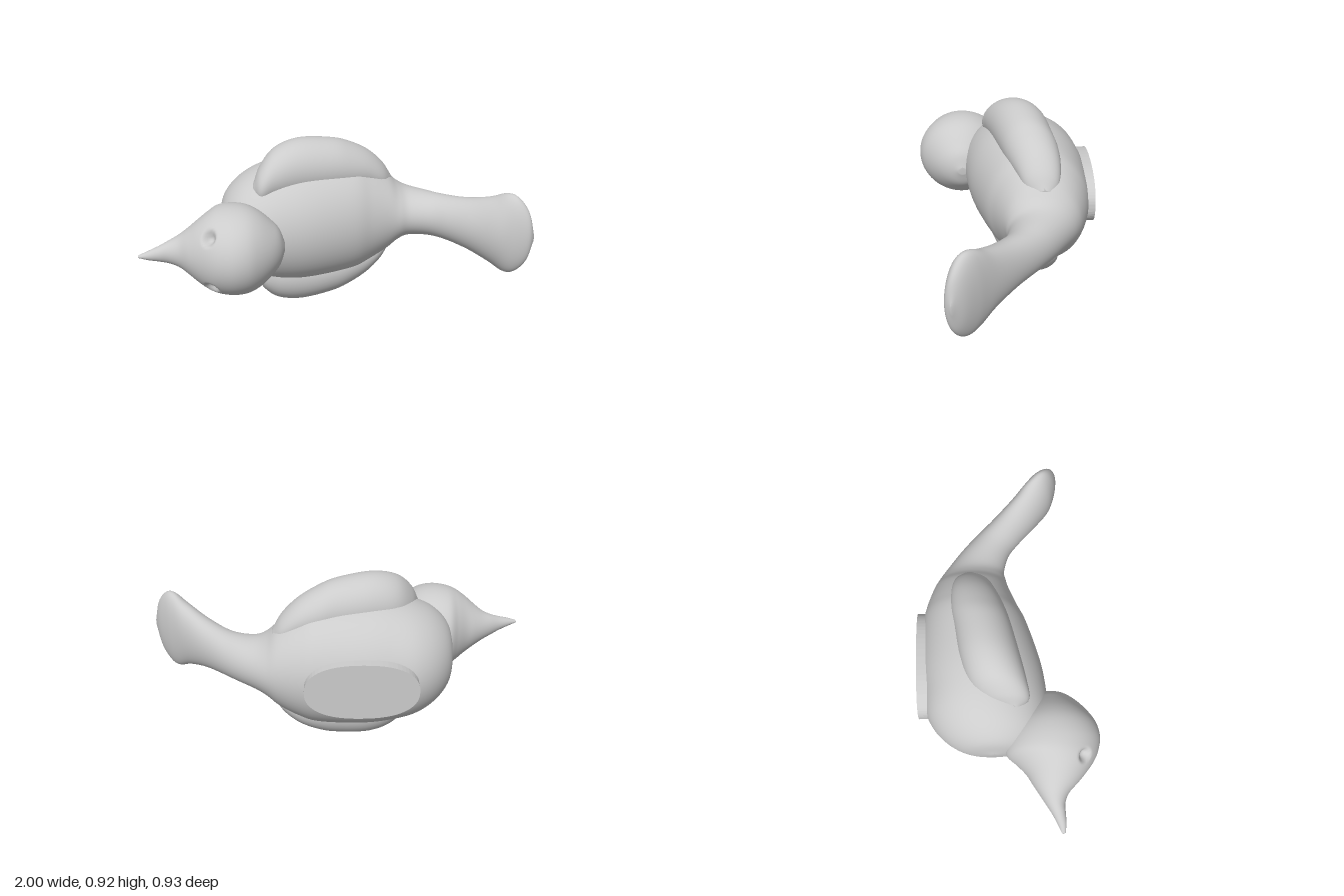
import * as THREE from 'three';

const MID = 0.46; // height of the mirror plane

// Smooth skin through oval sections [x, zLow, zHigh, yLow, yHigh] (y relative to MID)
function loft(sections, steps, sides, shift) {
  const a = new THREE.CatmullRomCurve3(sections.map(s => new THREE.Vector3(s[0], s[1], s[2])), false, 'catmullrom');
  const b = new THREE.CatmullRomCurve3(sections.map(s => new THREE.Vector3(s[3], s[4], 0)), false, 'catmullrom');
  const pos = [], index = [];
  for (let i = 0; i <= steps; i++) {
    const p = a.getPoint(i / steps), q = b.getPoint(i / steps);
    for (let j = 0; j < sides; j++) {
      const t = (j / sides) * Math.PI * 2;
      const v = new THREE.Vector3(
        p.x,
        MID + (q.x + q.y) / 2 + (q.y - q.x) / 2 * Math.cos(t),
        (p.y + p.z) / 2 + (p.z - p.y) / 2 * Math.sin(t));
      if (shift) shift(v);
      pos.push(v.x, v.y, v.z);
      if (i < steps) {
        const k = i * sides + j, n = i * sides + (j + 1) % sides;
        index.push(k, n, k + sides, n, n + sides, k + sides);
      }
    }
  }
  // end caps
  const last = steps * sides;
  for (let j = 1; j < sides - 1; j++) index.push(0, j + 1, j, last, last + j, last + j + 1);
  const g = new THREE.BufferGeometry();
  g.setAttribute('position', new THREE.Float32BufferAttribute(pos, 3));
  g.setIndex(index);
  g.computeVertexNormals();
  return g;
}

const even = ([x, lo, hi, w]) => [x, lo, hi, -w, w];

export function createModel() {
  const group = new THREE.Group();
  const mat = new THREE.MeshStandardMaterial({ color: 0xcccccc });
  const add = (name, geometry) => {
    const m = new THREE.Mesh(geometry, mat);
    m.name = name;
    group.add(m);
    return m;
  };

  // Body flowing into the narrow, flared tail
  add('bodyAndTail', loft([
    [-0.6, -0.1, -0.06, 0.02], [-0.575, -0.24, 0.08, 0.15], [-0.5, -0.35, 0.17, 0.24],
    [-0.39, -0.42, 0.2, 0.3], [-0.25, -0.44, 0.195, 0.335], [-0.1, -0.45, 0.17, 0.34],
    [0.1, -0.44, 0.11, 0.32], [0.2, -0.42, 0.065, 0.28], [0.3, -0.385, 0.025, 0.22],
    [0.36, -0.355, 0.008, 0.165], [0.42, -0.315, 0, 0.135], [0.52, -0.24, 0.03, 0.122],
    [0.6, -0.17, 0.09, 0.122], [0.7, -0.07, 0.18, 0.14], [0.8, 0.03, 0.26, 0.18],
    [0.87, 0.1, 0.29, 0.22], [0.92, 0.15, 0.303, 0.21], [0.97, 0.21, 0.305, 0.14],
    [1, 0.27, 0.28, 0.02],
  ].map(even), 108, 56));

  // Head drawn out into the beak, with a hollow pressed in for each eye
  const centre = new THREE.Vector3(-0.53, MID, 0.23);
  const eyes = [-1, 1].map(s => new THREE.Vector3(-0.645, MID + s * 0.135, 0.365));
  add('headAndBeak', loft([
    [-1, 0.242, 0.26, 0.006], [-0.95, 0.22, 0.267, 0.024], [-0.9, 0.195, 0.266, 0.04],
    [-0.85, 0.165, 0.267, 0.06], [-0.8, 0.135, 0.29, 0.085], [-0.75, 0.105, 0.338, 0.123],
    [-0.7, 0.075, 0.382, 0.165], [-0.65, 0.03, 0.42, 0.2], [-0.6, -0.02, 0.445, 0.222],
    [-0.53, -0.03, 0.46, 0.23], [-0.46, -0.01, 0.447, 0.22], [-0.4, 0.03, 0.41, 0.19],
    [-0.34, 0.08, 0.355, 0.138], [-0.3, 0.13, 0.3, 0.09], [-0.275, 0.19, 0.24, 0.02],
  ].map(even), 112, 96, v => {
    for (const e of eyes) {
      const d = v.distanceTo(e) / 0.032;
      v.lerp(centre, 0.16 * Math.exp(-(d ** 4)));
    }
  }));

  // Folded wings, one on each flank
  const wing = [
    [-0.42, 0, 0.05, 0.2, 0.26], [-0.38, -0.11, 0.1, 0.15, 0.345], [-0.3, -0.19, 0.09, 0.15, 0.425],
    [-0.17, -0.235, 0.06, 0.15, 0.46], [0, -0.26, 0.02, 0.15, 0.443], [0.1, -0.275, -0.01, 0.15, 0.41],
    [0.2, -0.275, -0.05, 0.15, 0.355], [0.28, -0.26, -0.09, 0.13, 0.28], [0.33, -0.22, -0.15, 0.13, 0.2],
  ];
  add('leftWing', loft(wing, 56, 40));
  add('rightWing', loft(wing.map(([x, lo, hi, a, b]) => [x, lo, hi, -b, -a]), 56, 40));

  // Flat oval foot under the belly
  const outline = [];
  for (let i = 0; i < 64; i++) {
    const t = (i / 64) * Math.PI * 2, c = Math.cos(t), s = Math.sin(t);
    outline.push(new THREE.Vector2(
      0.283 * Math.sign(c) * Math.abs(c) ** 0.85,
      0.153 * Math.sign(s) * Math.abs(s) ** 0.85));
  }
  const foot = add('footPlate', new THREE.ExtrudeGeometry(new THREE.Shape(outline), { depth: 0.075, bevelEnabled: false }));
  foot.position.set(-0.112, MID, -0.465);

  return group;
}
